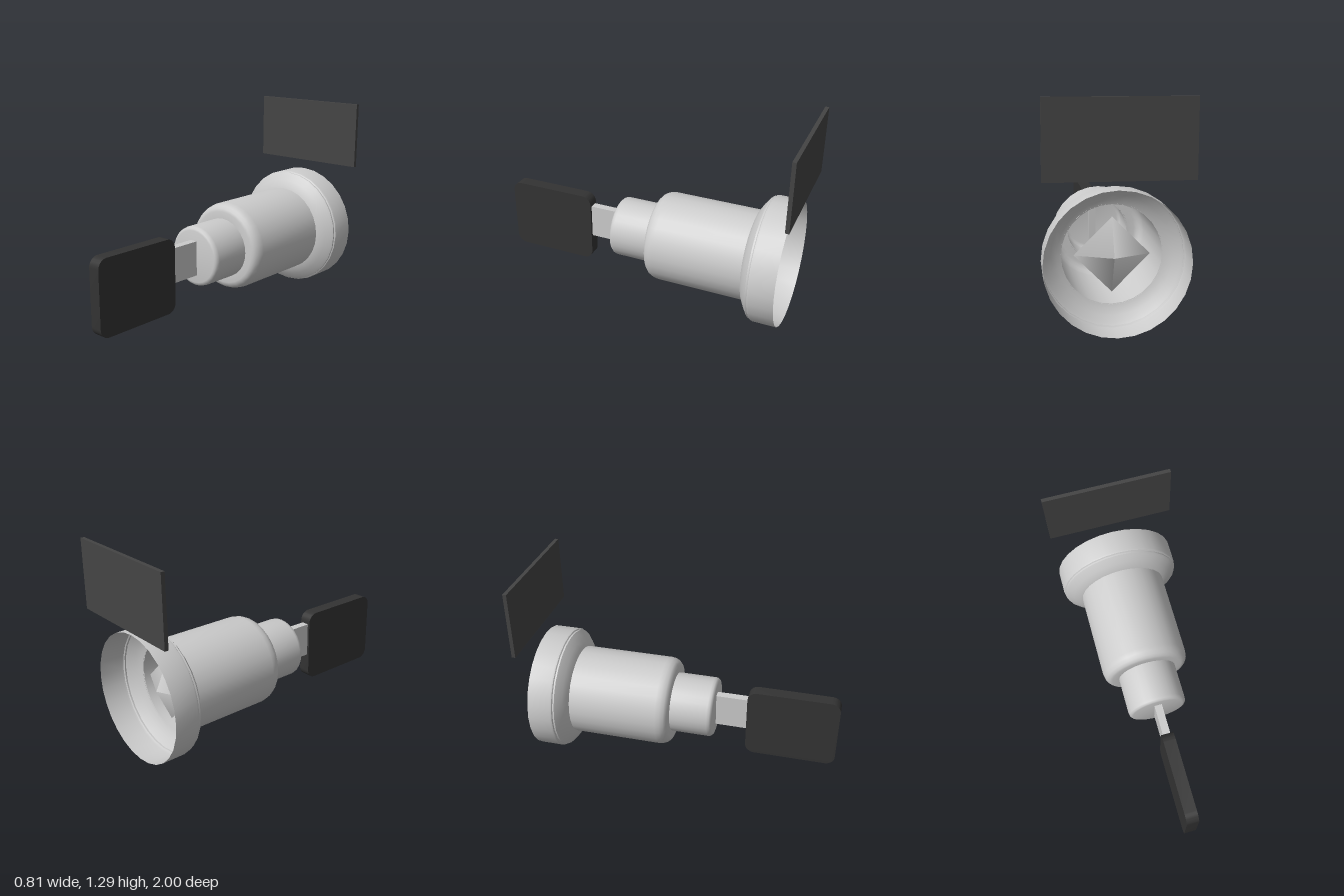
import * as THREE from 'three';
import { toCreasedNormals } from 'three/addons/utils/BufferGeometryUtils.js';

const AXIS_Y = 0.406;
const grey = new THREE.MeshStandardMaterial({ color: 0xcccccc, side: THREE.DoubleSide });
const dark = new THREE.MeshStandardMaterial({ color: 0x333333 });
const plateDark = new THREE.MeshStandardMaterial({ color: 0x444444 });

export function createModel() {
  const model = new THREE.Group();

  const add = (name, geometry, material, x = 0, y = 0, z = 0) => {
    const mesh = new THREE.Mesh(geometry, material);
    mesh.name = name;
    mesh.position.set(x, y, z);
    model.add(mesh);
    return mesh;
  };

  // Turned part around the lock axis; profile is [radius, z] from back to front
  const turned = (name, profile, segments = 28) => {
    const points = profile.map(([r, z]) => new THREE.Vector2(r, z));
    const geometry = new THREE.LatheGeometry(points, segments).rotateX(Math.PI / 2);
    return add(name, toCreasedNormals(geometry, 0.6), grey, 0, AXIS_Y, 0);
  };

  // Open flared collar at the back
  turned('collar', [
    [0.402, -0.95], [0.402, -0.8], [0.399, -0.79], [0.392, -0.785],
    [0.392, -0.775], [0.38, -0.765], [0.345, -0.74], [0.31, -0.72], [0.285, -0.712],
  ]);

  // Hollow barrel with a rounded front shoulder
  turned('barrel', [
    [0.29, -0.715], [0.29, -0.14], [0.286, -0.112], [0.275, -0.088],
    [0.259, -0.073], [0.24, -0.068], [0.19, -0.068],
  ]);

  // Key cylinder
  turned('keyCylinder', [
    [0.195, -0.08], [0.195, 0.175], [0.192, 0.191], [0.182, 0.202], [0.17, 0.205], [0, 0.205],
  ]);

  // Four-sided smooth point inside the collar
  const point = new THREE.ConeGeometry(0.215, 0.1, 4).rotateX(-Math.PI / 2);
  add('innerPoint', point, grey, 0, AXIS_Y, -0.76);

  // Key blade
  add('keyBlade', new THREE.BoxGeometry(0.05, 0.225, 0.25), grey, 0, 0.4, 0.3);

  // Key head: rounded plate standing in the YZ plane
  const w = 0.295, h = 0.239, r = 0.062;
  const outline = new THREE.Shape();
  outline.moveTo(-w + r, -h);
  outline.absarc(w - r, -h + r, r, -Math.PI / 2, 0);
  outline.absarc(w - r, h - r, r, 0, Math.PI / 2);
  outline.absarc(-w + r, h - r, r, Math.PI / 2, Math.PI);
  outline.absarc(-w + r, -h + r, r, Math.PI, Math.PI * 1.5);
  const head = new THREE.ExtrudeGeometry(outline, { depth: 0.08, bevelEnabled: false, curveSegments: 6 });
  head.translate(0, 0, -0.04).rotateY(-Math.PI / 2);
  add('keyHead', toCreasedNormals(head, 0.6), dark, 0, 0.346, 0.705);

  // Flat plate above the collar
  add('backPlate', new THREE.BoxGeometry(0.81, 0.432, 0.024), plateDark, 0, 1.079, -0.988);

  return model;
}
